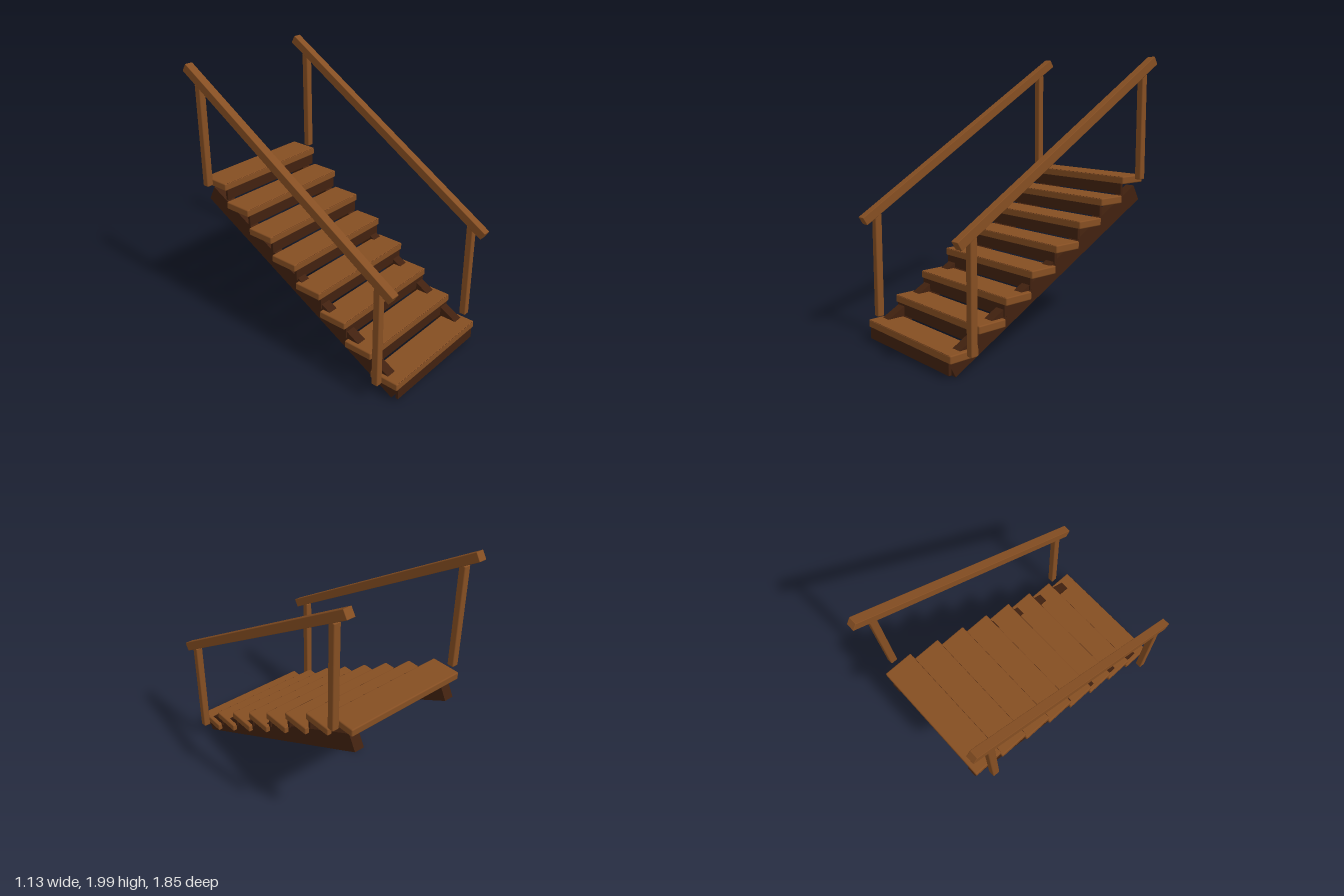
import * as THREE from 'three';
import { RoundedBoxGeometry } from 'three/addons/geometries/RoundedBoxGeometry.js';

export function createModel() {
  const group = new THREE.Group();
  group.name = 'staircase';

  const wood = new THREE.MeshStandardMaterial({ color: 0x854e22 });
  wood.name = 'warm wood';
  const darkWood = new THREE.MeshStandardMaterial({ color: 0x41210f });
  darkWood.name = 'dark wood';

  // Softened timber of a given size and position, optionally pitched up towards the back
  function timber(name, material, size, position, bevel, pitch = 0) {
    const geometry = bevel > 0
      ? new RoundedBoxGeometry(...size, 2, bevel)
      : new THREE.BoxGeometry(...size);
    const mesh = new THREE.Mesh(geometry, material);
    mesh.name = name;
    mesh.position.set(...position);
    mesh.rotation.x = pitch;
    group.add(mesh);
  }

  // Treads, each with a riser board under its front edge
  const steps = 8, rise = 0.138, run = 0.2273;
  for (let i = 0; i < steps; i++) {
    const top = 0.165 + i * rise;
    const z = 0.807 - i * run;
    timber(`tread${i + 1}`, wood, [0.952, 0.056, 0.224], [0, top - 0.028, z], 0.009);
    timber(`riser${i + 1}`, darkWood, [0.91, 0.132, 0.022], [0, top - 0.068, z + 0.099], 0.002);
  }

  for (const side of [1, -1]) {
    const label = side > 0 ? 'left' : 'right';

    // Sloping stringer beneath the treads
    timber(`${label}Stringer`, darkWood, [0.074, 0.125, 1.984], [side * 0.408, 0.528, 0.01], 0, 0.4905);

    // Handrail and its two posts
    const x = side * 0.535;
    timber(`${label}Handrail`, wood, [0.062, 0.065, 2.13], [x, 1.415, 0], 0.004, 0.551);
    timber(`${label}FrontPost`, wood, [0.052, 0.75, 0.052], [x, 0.525, 0.795], 0.008);
    timber(`${label}BackPost`, wood, [0.052, 0.76, 0.052], [x, 1.49, -0.79], 0.008);
  }

  return group;
}
